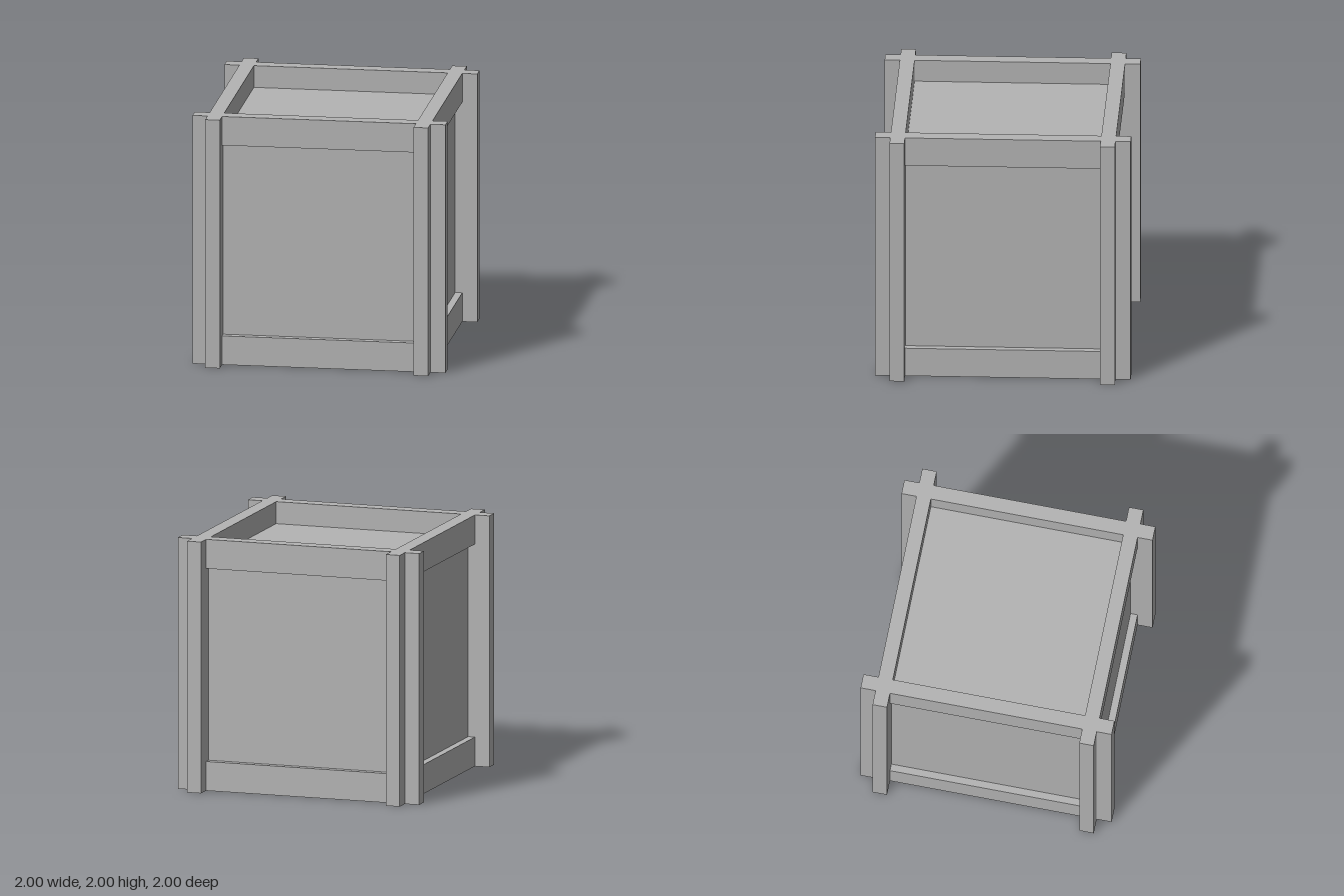
import * as THREE from 'three';

export function createModel() {
  const model = new THREE.Group();
  model.name = 'crate';
  const grey = new THREE.MeshStandardMaterial({ color: 0xb4b4b4 });
  grey.name = 'plain grey';

  const inner = 0.766, outer = 0.881, tip = 1;
  const railHeight = 0.232, panel = 0.825;

  function add(geometry, name, parent) {
    const mesh = new THREE.Mesh(geometry, grey);
    mesh.name = name;
    parent.add(mesh);
    return mesh;
  }

  // closed box whose faces are the recessed panels
  add(new THREE.BoxGeometry(panel * 2, panel * 2, panel * 2), 'panels', model).position.y = 1;

  // corner post: L-shaped section whose two arms stick out past the rails
  const section = new THREE.Shape([
    [inner, inner], [tip, inner], [tip, outer], [outer, outer], [outer, tip], [inner, tip],
  ].map(([x, y]) => new THREE.Vector2(x, y)));
  const postGeometry = new THREE.ExtrudeGeometry(section, { depth: 2, bevelEnabled: false });
  postGeometry.rotateX(Math.PI / 2).translate(0, 2, 0);

  const railGeometry = new THREE.BoxGeometry(inner * 2, railHeight, outer - inner);

  // one post, one top rail and one bottom rail for each side
  for (let i = 0; i < 4; i++) {
    const side = new THREE.Group();
    side.name = 'frameSide' + (i + 1);
    side.rotation.y = i * Math.PI / 2;
    add(postGeometry, 'cornerPost', side);
    const z = (inner + outer) / 2;
    add(railGeometry, 'bottomRail', side).position.set(0, railHeight / 2, z);
    add(railGeometry, 'topRail', side).position.set(0, 2 - railHeight / 2, z);
    model.add(side);
  }
  return model;
}
